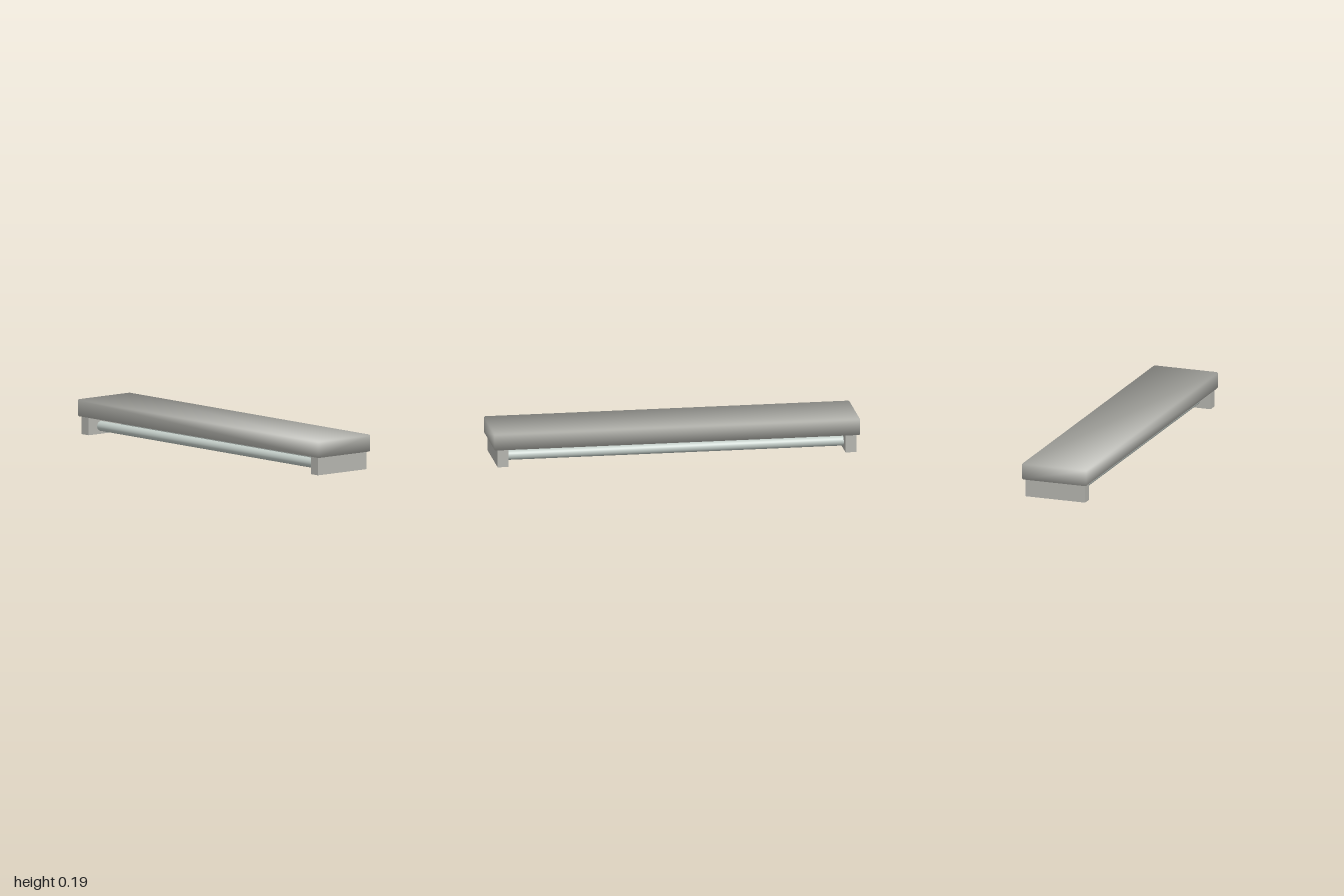
import * as THREE from 'three';
import { ConvexGeometry } from 'three/addons/geometries/ConvexGeometry.js';

// Box with narrow chamfers whose normals fan out softly towards the corners
function softChamferBox(w, h, d, b) {
  const half = [w / 2, h / 2, d / 2];
  const points = [];
  for (const sx of [-1, 1]) for (const sy of [-1, 1]) for (const sz of [-1, 1]) {
    for (let axis = 0; axis < 3; axis++) {
      const p = [sx, sy, sz].map((s, i) => s * (half[i] - (i === axis ? 0 : b)));
      points.push(new THREE.Vector3(...p));
    }
  }
  const geo = new ConvexGeometry(points);
  const pos = geo.attributes.position, nor = geo.attributes.normal;
  const n = new THREE.Vector3();
  for (let i = 0; i < pos.count; i++) {
    n.set(Math.sign(pos.getX(i)), Math.sign(pos.getY(i)), Math.sign(pos.getZ(i))).normalize();
    nor.setXYZ(i, n.x, n.y, n.z);
  }
  return geo;
}

export function createModel() {
  const model = new THREE.Group();
  model.name = 'tubeLight';

  const casing = new THREE.MeshStandardMaterial({ color: 0xb5b5af });
  casing.name = 'warm grey casing';
  const glass = new THREE.MeshStandardMaterial({ color: 0xc3cdc8 });
  glass.name = 'pale tube glass';

  const add = (name, geo, mat, x, y, z) => {
    const mesh = new THREE.Mesh(geo, mat);
    mesh.name = name;
    mesh.position.set(x, y, z);
    model.add(mesh);
    return mesh;
  };

  // Long housing
  add('housing', softChamferBox(2, 0.093, 0.373, 0.006), casing, 0, 0.1435, 0);

  // End sockets
  for (const s of [-1, 1]) {
    add(s > 0 ? 'leftSocket' : 'rightSocket',
      new THREE.BoxGeometry(0.059, 0.1, 0.345), casing, s * 0.951, 0.05, 0);
  }

  // Two light tubes between the sockets
  for (const s of [-1, 1]) {
    const tube = add(s > 0 ? 'frontTube' : 'backTube',
      new THREE.CylinderGeometry(0.027, 0.027, 1.86, 24), glass, 0, 0.043, s * 0.085);
    tube.rotation.z = Math.PI / 2;
  }

  return model;
}
